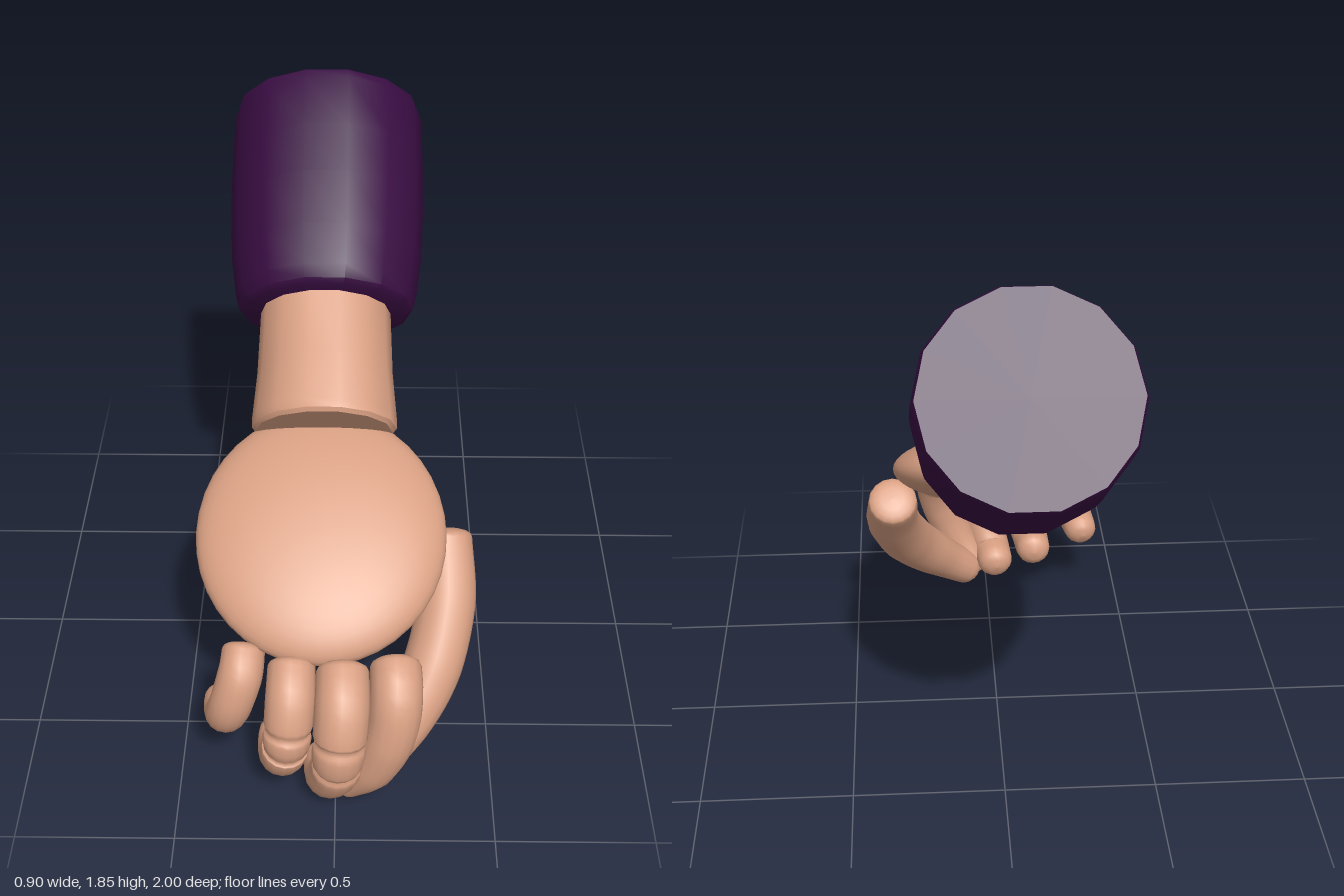
import * as THREE from 'three';
import { toCreasedNormals } from 'three/addons/utils/BufferGeometryUtils.js';

const skin = new THREE.MeshStandardMaterial({ color: 0xd9a083 });
skin.name = 'skin';
const purple = new THREE.MeshStandardMaterial({ color: 0x390d42 });
purple.name = 'purple cloth';

const SIDES = 16;

// Sweeps a tapering round section along a path. Grooves are thin notches at
// the given fractions of its length; both ends are closed by domed caps.
function digitGeometry(points, radii, grooves = []) {
  const curve = new THREE.CatmullRomCurve3(points.map(p => new THREE.Vector3(...p)));
  const radiusAt = t => {
    const f = t * (radii.length - 1);
    const i = Math.min(Math.floor(f), radii.length - 2);
    return THREE.MathUtils.lerp(radii[i], radii[i + 1], f - i);
  };

  // Stations: [fraction, offset along the path, radius]
  const body = [];
  for (let i = 0; i <= 24; i++) {
    const t = i / 24;
    if (grooves.every(g => Math.abs(t - g) > 0.022)) body.push([t, 0, radiusAt(t)]);
  }
  for (const g of grooves) {
    for (const [d, k] of [[-0.02, 0.96], [-0.013, 0.86], [0.013, 0.86], [0.02, 0.96]]) {
      body.push([g + d, 0, radiusAt(g + d) * k]);
    }
  }
  body.sort((a, b) => a[0] - b[0]);
  const cap = (t, depth) => [1, 2, 3, 4].map(i => {
    const a = (i / 4) * Math.PI / 2;
    const r = radiusAt(t);
    return [t, depth * r * Math.sin(a), r * Math.pow(Math.cos(a), 0.8) + 1e-4];
  });
  const start = cap(0, 0.35).map(([t, o, r]) => [t, -o, r]).reverse();
  const stations = [...start, ...body, ...cap(1, 0.8)];

  const position = [], index = [];
  stations.forEach(([t, offset, r], i) => {
    const tangent = curve.getTangentAt(t);
    const centre = curve.getPointAt(t).addScaledVector(tangent, offset);
    const side = new THREE.Vector3(1, 0, 0).addScaledVector(tangent, -tangent.x).normalize();
    const up = tangent.clone().cross(side);
    for (let j = 0; j < SIDES; j++) {
      const a = (j / SIDES) * Math.PI * 2;
      const p = centre.clone()
        .addScaledVector(side, r * Math.cos(a))
        .addScaledVector(up, r * Math.sin(a));
      position.push(p.x, p.y, p.z);
      if (i < stations.length - 1) {
        const k = (j + 1) % SIDES;
        const A = i * SIDES + j, B = i * SIDES + k;
        index.push(A, B, A + SIDES, B, B + SIDES, A + SIDES);
      }
    }
  });
  const geometry = new THREE.BufferGeometry();
  geometry.setAttribute('position', new THREE.Float32BufferAttribute(position, 3));
  geometry.setIndex(index);
  geometry.computeVertexNormals();
  return geometry;
}

// Fourteen-sided turned form with smooth sides and crisp ends
function turned(profile) {
  const points = profile.map(p => new THREE.Vector2(...p));
  return toCreasedNormals(new THREE.LatheGeometry(points, 14, Math.PI / 2), 0.75);
}

export function createModel() {
  const model = new THREE.Group();
  const add = (name, geometry, material, parent = model) => {
    const mesh = new THREE.Mesh(geometry, material);
    mesh.name = name;
    parent.add(mesh);
    return mesh;
  };

  // Arm, running up and back from the wrist
  const arm = new THREE.Group();
  arm.name = 'arm';
  arm.position.set(-0.045, 0.93, 0.1);
  arm.rotation.x = -0.924;
  model.add(arm);
  add('forearm', turned([
    [0, 0], [0.222, 0], [0.235, 0.012], [0.236, 0.04], [0.222, 0.2], [0.212, 0.5], [0, 0.5],
  ]), skin, arm);
  add('sleeve', turned([
    [0, 0.41], [0.265, 0.41], [0.288, 0.425], [0.3, 0.47], [0.317, 0.6], [0.325, 0.78],
    [0.325, 0.95], [0.321, 1.12], [0.312, 1.15], [0, 1.15],
  ]), purple, arm);

  // Palm, a tilted flattened ellipsoid
  const palm = add('palm', new THREE.SphereGeometry(1, 40, 24), skin);
  palm.scale.set(0.397, 0.13, 0.432);
  palm.position.set(-0.05, 0.74, 0.39);
  palm.rotation.x = 0.49;

  // Fingers and thumb
  add('thumb', digitGeometry(
    [[0.35, 0.66, 0.3], [0.352, 0.5, 0.44], [0.29, 0.31, 0.6], [0.175, 0.16, 0.72], [0.085, 0.075, 0.775]],
    [0.086, 0.095, 0.096, 0.086, 0.066]), skin);
  add('indexFinger', digitGeometry(
    [[0.185, 0.505, 0.74], [0.187, 0.47, 0.81], [0.175, 0.35, 0.853], [0.12, 0.19, 0.85], [0.045, 0.075, 0.81]],
    [0.08, 0.082, 0.08, 0.072, 0.055]), skin);
  add('middleFinger', digitGeometry(
    [[0.022, 0.51, 0.77], [0.022, 0.46, 0.86], [0.012, 0.32, 0.913], [0, 0.2, 0.885], [-0.025, 0.125, 0.83], [-0.035, 0.115, 0.76]],
    [0.082, 0.085, 0.084, 0.08, 0.074, 0.068], [0.41, 0.58]), skin);
  add('ringFinger', digitGeometry(
    [[-0.135, 0.512, 0.75], [-0.137, 0.46, 0.83], [-0.148, 0.33, 0.876], [-0.163, 0.235, 0.845], [-0.178, 0.187, 0.78], [-0.182, 0.19, 0.72]],
    [0.074, 0.077, 0.076, 0.074, 0.07, 0.065], [0.42, 0.56]), skin);
  add('littleFinger', digitGeometry(
    [[-0.285, 0.53, 0.7], [-0.292, 0.49, 0.755], [-0.325, 0.38, 0.778], [-0.347, 0.31, 0.745], [-0.36, 0.295, 0.68]],
    [0.067, 0.07, 0.069, 0.066, 0.06]), skin);

  return model;
}
